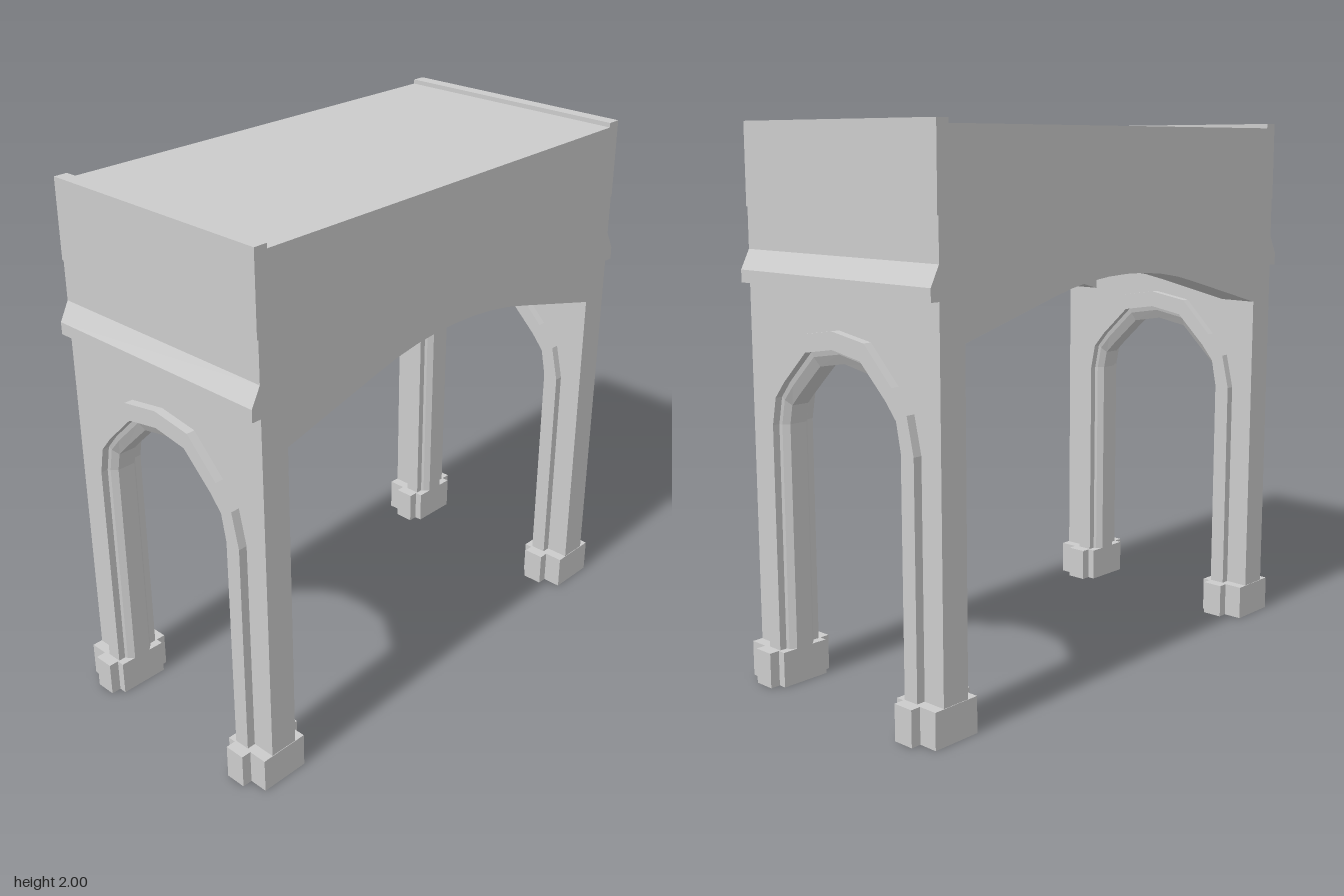
import * as THREE from 'three';

const material = new THREE.MeshStandardMaterial({ color: 0xcccccc, flatShading: true });

function add(parent, name, geometry, x = 0, y = 0, z = 0) {
  const mesh = new THREE.Mesh(geometry, material);
  mesh.name = name;
  mesh.position.set(x, y, z);
  parent.add(mesh);
  return mesh;
}

// box given by its min and max corners
function block(parent, name, [x0, x1], [y0, y1], [z0, z1]) {
  return add(parent, name, new THREE.BoxGeometry(x1 - x0, y1 - y0, z1 - z0),
    (x0 + x1) / 2, (y0 + y1) / 2, (z0 + z1) / 2);
}

const extrude = (points, depth) => new THREE.ExtrudeGeometry(
  new THREE.Shape(points.map(p => new THREE.Vector2(...p))), { depth, bevelEnabled: false });

// half arches as [z, y], from the foot to the crown
const OUTER = [[0.39, 0], [0.39, 0.95], [0.36, 1.08], [0.29, 1.16], [0.16, 1.29], [0, 1.315]];
const MIDDLE = [[0.33, 0], [0.33, 0.955], [0.31, 1.055], [0.26, 1.115], [0.14, 1.23], [0, 1.253]];
const INNER = [[0.30, 0], [0.30, 0.955], [0.286, 1.024], [0.245, 1.066], [0.127, 1.178], [0, 1.2]];
const mirrored = half => [...half, ...half.slice(0, -1).reverse().map(([z, y]) => [-z, y])];
const mix = (a, b, t) => a.map((p, i) => [p[0] + (b[i][0] - p[0]) * t, p[1] + (b[i][1] - p[1]) * t]);

// stepped and chamfered moulding swept around the arch
function mouldingGeometry() {
  const side = [[OUTER, 0.0875], [MIDDLE, 0.0875], [MIDDLE, 0.06], [mix(MIDDLE, INNER, 0.35), 0.055], [INNER, 0.035]];
  const section = [...side, ...side.slice().reverse().map(([rail, x]) => [rail, -x])];
  const rails = section.map(([rail, x]) => mirrored(rail).map(([z, y]) => [x, y, z]));
  const n = rails.length, stations = rails[0].length;
  const positions = [], index = [];
  for (let i = 0; i < stations; i++) {
    for (let j = 0; j < n; j++) {
      positions.push(...rails[j][i]);
      if (i === stations - 1) continue;
      const a = i * n + j, b = i * n + (j + 1) % n;
      index.push(a, b, a + n, b, b + n, a + n);
    }
  }
  const geometry = new THREE.BufferGeometry();
  geometry.setAttribute('position', new THREE.Float32BufferAttribute(positions, 3));
  geometry.setIndex(index);
  const flat = geometry.toNonIndexed();
  flat.computeVertexNormals();
  return flat;
}

// one end: pierced wall, arch moulding, cornices and two feet, built at +x
function createEnd() {
  const end = new THREE.Group();

  // wall drawn in (-z, y) and turned so its thickness runs along x
  const opening = mirrored(MIDDLE);
  const wall = extrude([[-0.48, 0], ...opening.map(([z, y]) => [-z, y]),
    [0.48, 0], [0.48, 1.71], [-0.48, 1.71]], 0.11);
  wall.rotateY(Math.PI / 2);
  add(end, 'endWall', wall, 0.807);

  add(end, 'archMoulding', mouldingGeometry(), 0.8625);

  // sloped cornice outside and inside
  add(end, 'outerCornice', extrude([[0.9, 1.445], [0.953, 1.445], [0.953, 1.49], [0.917, 1.56], [0.9, 1.56]], 0.96), 0, 0, -0.48);
  add(end, 'innerCornice', extrude([[0.82, 1.445], [0.82, 1.56], [0.808, 1.56], [0.772, 1.49], [0.772, 1.445]], 0.68), 0, 0, -0.34);

  // cross-shaped feet
  for (const s of [-1, 1]) {
    const span = (a, b) => (s > 0 ? [a, b] : [-b, -a]);
    block(end, 'footCore', [0.767, 0.957], [0, 0.13], span(0.30, 0.482));
    block(end, 'footCross', [0.73, 0.995], [0, 0.13], span(0.33, 0.41));
  }

  // low kerb along the roof edge
  block(end, 'roofKerb', [0.87, 0.922], [1.98, 2], [-0.48, 0.48]);
  return end;
}

export function createModel() {
  const model = new THREE.Group();
  model.name = 'archedGateway';

  for (const turn of [0, Math.PI]) {
    const end = createEnd();
    end.name = turn ? 'rightEnd' : 'leftEnd';
    end.rotation.y = turn;
    model.add(end);
  }

  // long walls with a shallow arched underside
  const half = [[0.807, 1.305], [0.4, 1.415], [0.3, 1.44], [0.2, 1.457], [0.1, 1.467], [0, 1.47]];
  const underside = mirrored(half).reverse();
  for (const [name, z] of [['frontWall', 0.33], ['backWall', -0.48]]) {
    add(model, name, extrude([...underside, [0.807, 1.71], [-0.807, 1.71]], 0.15), 0, 0, z);
  }

  // solid deck whose underside is the ceiling
  block(model, 'roofDeck', [-0.922, 0.922], [1.708, 1.983], [-0.48, 0.48]);
  return model;
}
